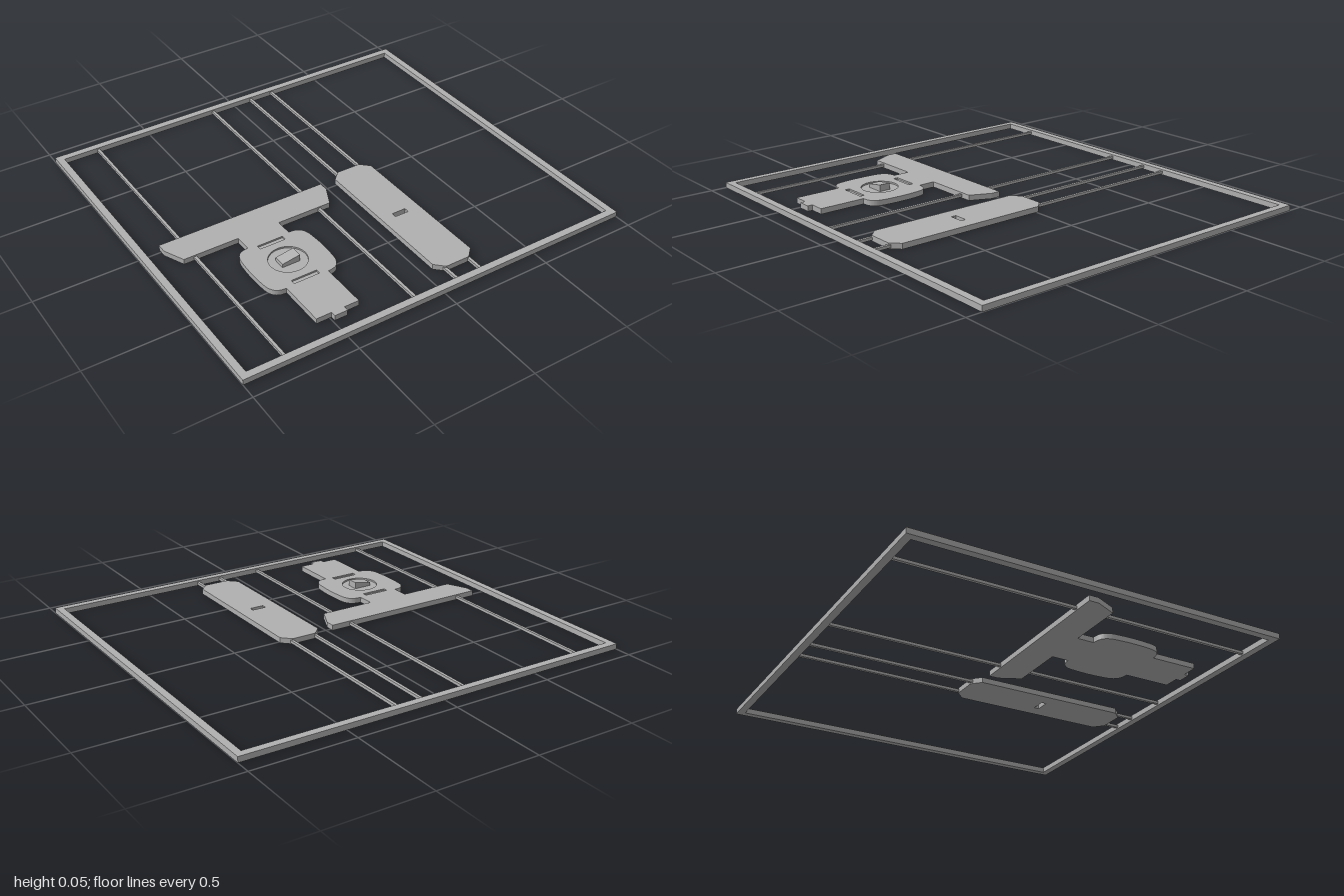
import * as THREE from 'three';

const TOP = 0.027;   // upper surface of frame and plates
const RECESS = 0.008; // depth of the shallow pockets

export function createModel() {
  const group = new THREE.Group();
  const grey = new THREE.MeshStandardMaterial({ color: 0xb0b0b0 });
  grey.name = 'grey';

  const add = (name, geometry) => {
    const mesh = new THREE.Mesh(geometry, grey);
    mesh.name = name;
    group.add(mesh);
    return mesh;
  };
  // Flat outline in x and z, extruded between two heights
  const slab = (name, shape, bottom, top) => {
    const g = new THREE.ExtrudeGeometry(shape, { depth: top - bottom, bevelEnabled: false, curveSegments: 16 });
    g.rotateX(Math.PI / 2);
    g.translate(0, top, 0);
    return add(name, g);
  };
  const rect = (x0, z0, x1, z1, Kind = THREE.Path) => {
    const p = new Kind();
    p.moveTo(x0, z0);
    p.lineTo(x1, z0);
    p.lineTo(x1, z1);
    p.lineTo(x0, z1);
    p.closePath();
    return p;
  };

  // Outer rectangular frame
  const frame = rect(-1, -0.922, 1, 0.922, THREE.Shape);
  frame.holes.push(rect(-0.965, -0.886, 0.965, 0.886));
  slab('frame', frame, 0, TOP);

  // Long thin rods spanning the frame
  for (const x of [-0.785, -0.132, 0.093, 0.222]) {
    const rod = add('rod', new THREE.BoxGeometry(0.014, 0.014, 1.78));
    rod.position.set(x, 0.0125, 0);
  }

  // T-shaped plate with a rounded body
  const cx = -0.457;
  const tOutline = () => {
    const s = new THREE.Shape();
    s.moveTo(-0.888, -0.018);
    s.lineTo(-0.026, -0.018);
    s.lineTo(-0.026, 0.03);
    s.lineTo(-0.073, 0.132);
    s.lineTo(-0.352, 0.132);
    s.lineTo(-0.352, 0.217);
    s.bezierCurveTo(-0.3, 0.217, -0.279, 0.24, -0.276, 0.3);
    s.quadraticCurveTo(-0.268, 0.381, -0.276, 0.46);
    s.bezierCurveTo(-0.279, 0.52, -0.3, 0.545, -0.352, 0.545);
    s.lineTo(-0.352, 0.78);
    s.lineTo(-0.426, 0.78);
    s.lineTo(-0.426, 0.805);
    s.lineTo(-0.491, 0.805);
    s.lineTo(-0.491, 0.78);
    s.lineTo(-0.566, 0.78);
    s.lineTo(-0.566, 0.545);
    s.bezierCurveTo(-0.615, 0.545, -0.636, 0.52, -0.639, 0.46);
    s.quadraticCurveTo(-0.646, 0.381, -0.639, 0.3);
    s.bezierCurveTo(-0.636, 0.24, -0.615, 0.217, -0.566, 0.217);
    s.lineTo(-0.566, 0.132);
    s.lineTo(-0.842, 0.132);
    s.lineTo(-0.888, 0.03);
    s.closePath();
    return s;
  };
  slab('tPlateBase', tOutline(), 0, TOP - RECESS);
  const upper = tOutline();
  const pocket = new THREE.Path();
  pocket.absarc(cx, 0.381, 0.09, 0, Math.PI * 2);
  upper.holes.push(pocket);
  for (const z of [0.24, 0.525]) upper.holes.push(rect(cx - 0.065, z - 0.012, cx + 0.065, z + 0.012));
  slab('tPlateTop', upper, TOP - RECESS, TOP);

  // Sloped catch in the round pocket, rising toward +x
  const profile = new THREE.Shape();
  profile.moveTo(-0.503, 0.015);
  profile.lineTo(-0.412, 0.015);
  profile.lineTo(-0.412, 0.052);
  profile.lineTo(-0.503, 0.037);
  profile.closePath();
  const catchGeometry = new THREE.ExtrudeGeometry(profile, { depth: 0.058, bevelEnabled: false });
  catchGeometry.translate(0, 0, 0.352);
  add('catch', catchGeometry);

  // Long plate with clipped corners and a through slot
  const [x0, x1, z0, z1, c] = [0.053, 0.264, -0.055, 0.803, 0.043];
  const plate = new THREE.Shape();
  plate.moveTo(x0 + c, z0);
  plate.lineTo(x1 - c, z0);
  plate.lineTo(x1, z0 + c);
  plate.lineTo(x1, z1 - c);
  plate.lineTo(x1 - c, z1);
  plate.lineTo(x0 + c, z1);
  plate.lineTo(x0, z1 - c);
  plate.lineTo(x0, z0 + c);
  plate.closePath();
  plate.holes.push(rect(0.122, 0.362, 0.194, 0.388));
  slab('longPlate', plate, 0, TOP);

  return group;
}
